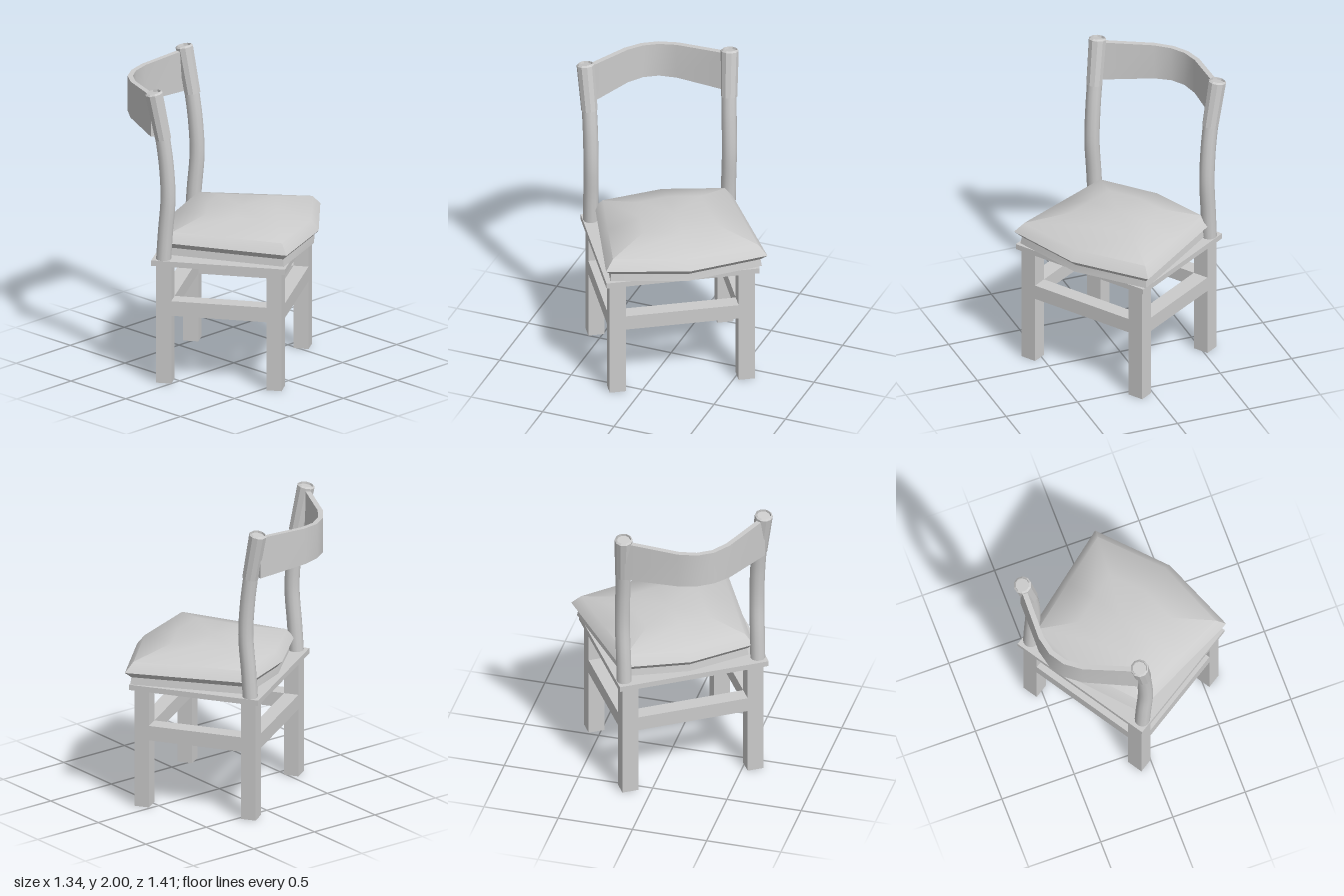
import * as THREE from 'three';
import { toCreasedNormals } from 'three/addons/utils/BufferGeometryUtils.js';

const material = new THREE.MeshStandardMaterial({ color: 0xcccccc });
const flatMaterial = new THREE.MeshStandardMaterial({ color: 0xcccccc, flatShading: true });

function add(parent, name, geometry, x = 0, y = 0, z = 0, mat = material) {
  const mesh = new THREE.Mesh(geometry, mat);
  mesh.name = name;
  mesh.position.set(x, y, z);
  parent.add(mesh);
  return mesh;
}

// Cushion: one outline scaled through rings from underside to crown
function cushionGeometry() {
  const outline = [
    [0, 0.557], [0.534, 0.456], [0.492, 0.045], [0.45, -0.368],
    [0, -0.442], [-0.45, -0.368], [-0.492, 0.045], [-0.534, 0.456],
  ];
  const rings = [
    [0, 0.857], [0.94, 0.857], [0.925, 0.905], [1, 0.945],
    [0.9, 1.01], [0.46, 1.078], [0, 1.078],
  ];
  const cz = 0.04, n = outline.length;
  const positions = [], index = [];
  rings.forEach(([s, y], j) => {
    outline.forEach(([x, z], i) => {
      positions.push(x * s, y, cz + (z - cz) * s);
      if (j === rings.length - 1) return;
      const a = j * n + i, b = j * n + (i + 1) % n;
      if (s > 0) index.push(a, b, b + n);
      if (rings[j + 1][0] > 0) index.push(a, b + n, a + n);
      else index.pop(), index.push(b + n);
    });
  });
  const geometry = new THREE.BufferGeometry();
  geometry.setAttribute('position', new THREE.Float32BufferAttribute(positions, 3));
  geometry.setIndex(index);
  return toCreasedNormals(geometry, 0.65);
}

// Back slat: a box bent along a path, a little taller at its ends
function slatGeometry() {
  const path = [
    [-0.47, -0.437], [-0.17, -0.636], [-0.055, -0.678],
    [0.055, -0.678], [0.17, -0.636], [0.47, -0.437],
  ].map(([x, z]) => new THREE.Vector2(x, z));
  const halfHeights = [0.14, 0.124, 0.12, 0.12, 0.124, 0.14];
  const last = path.length - 1;
  const geometry = new THREE.BoxGeometry(last, 2, 0.034, last, 1, 1);
  const p = geometry.attributes.position;
  for (let k = 0; k < p.count; k++) {
    const i = Math.round(p.getX(k) + last / 2);
    const t = path[Math.min(i + 1, last)].clone().sub(path[Math.max(i - 1, 0)]).normalize();
    const d = p.getZ(k);
    p.setXYZ(k, path[i].x - t.y * d, 1.828 + p.getY(k) * halfHeights[i], path[i].y + t.x * d);
  }
  return toCreasedNormals(geometry, 0.7);
}

export function createModel() {
  const model = new THREE.Group();
  model.name = 'chair';
  const chair = new THREE.Group();
  chair.name = 'turnedChair';
  chair.rotation.y = 2.142;
  chair.position.set(0.0065, 0, 0.004);
  model.add(chair);

  // Seat
  add(chair, 'seatBoard', new THREE.BoxGeometry(1.014, 0.037, 0.888), 0, 0.829, 0);
  add(chair, 'cushion', cushionGeometry(), 0.022, 0, 0);

  // Legs and the rails flush between them
  const lx = 0.4265, lz = 0.366, legW = 0.108, legD = 0.1;
  for (const s of [-1, 1]) {
    for (const t of [-1, 1]) {
      add(chair, t > 0 ? 'frontLeg' : 'backLeg', new THREE.BoxGeometry(legW, 0.812, legD), s * lx, 0.406, t * lz);
    }
    add(chair, 'sideRail', new THREE.BoxGeometry(legW, 0.1, 2 * lz - legD), s * lx, 0.517, 0);
    add(chair, s > 0 ? 'frontRail' : 'backRail', new THREE.BoxGeometry(2 * lx - legW, 0.1, legD), 0, 0.517, s * lz);
  }

  // Curved back posts with tilted faceted sleeves
  const sleeveProfile = [[0, 0], [0.054, 0], [0.059, 0.315], [0.047, 0.325], [0.045, 0.31], [0, 0.31]]
    .map(([r, y]) => new THREE.Vector2(r, y));
  for (const s of [-1, 1]) {
    const curve = new THREE.CatmullRomCurve3([
      [0.455, 0.845, -0.372], [0.456, 1.03, -0.36], [0.458, 1.27, -0.342],
      [0.459, 1.5, -0.354], [0.463, 1.72, -0.382],
    ].map(([x, y, z]) => new THREE.Vector3(s * x, y, z)));
    add(chair, 'backPost', new THREE.TubeGeometry(curve, 16, 0.05, 12));

    const foot = new THREE.Vector3(s * 0.462, 1.677, -0.374);
    const lean = new THREE.Vector3(s * 0.478, 2, -0.434).sub(foot).normalize();
    const sleeve = add(chair, 'postSleeve', new THREE.LatheGeometry(sleeveProfile, 10), foot.x, foot.y, foot.z, flatMaterial);
    sleeve.quaternion.setFromUnitVectors(new THREE.Vector3(0, 1, 0), lean);
  }

  add(chair, 'backSlat', slatGeometry());
  return model;
}
